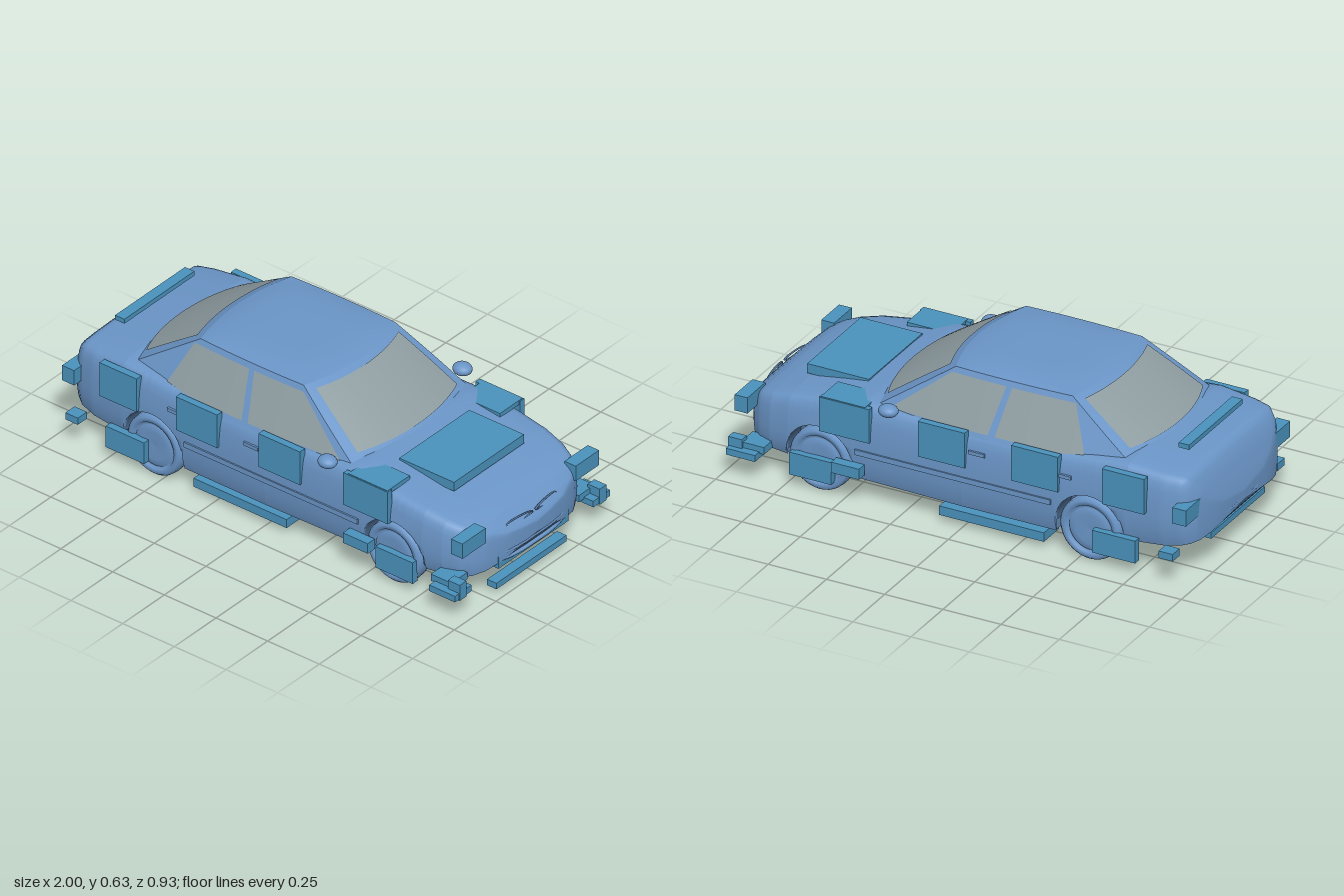
import * as THREE from 'three';

const { lerp } = THREE.MathUtils;
const mat = (color) => new THREE.MeshStandardMaterial({ color, side: THREE.DoubleSide });
const paint = mat(0x6b96c8), glass = mat(0x8f9ea2), plate = mat(0x4a93bd), dark = mat(0x4f6f94);

// Wheel centres along x, and arch size
const AXLES = [0.615, -0.545], WHEEL_Y = 0.13, ARCH = 0.145;

// Body stations: x, half width, bottom y, top y
const STATIONS = [
  [-1, 0, 0.2, 0.235], [-0.995, 0.17, 0.175, 0.26], [-0.985, 0.25, 0.16, 0.3], [-0.97, 0.31, 0.15, 0.345],
  [-0.95, 0.345, 0.145, 0.4], [-0.92, 0.368, 0.14, 0.428], [-0.85, 0.385, 0.13, 0.436], [-0.7, 0.396, 0.12, 0.452],
  [-0.4, 0.4, 0.085, 0.43], [0, 0.402, 0.085, 0.42], [0.42, 0.4, 0.09, 0.425], [0.6, 0.397, 0.1, 0.4],
  [0.75, 0.39, 0.11, 0.375], [0.84, 0.375, 0.11, 0.352], [0.89, 0.355, 0.11, 0.335], [0.93, 0.325, 0.115, 0.313],
  [0.96, 0.275, 0.125, 0.288], [0.985, 0.19, 0.145, 0.262], [0.996, 0.1, 0.17, 0.248], [1, 0, 0.19, 0.235],
];
// Half cross-section: fraction of half width, fraction of height
const SECTION = [
  [0.955, 0], [0.98, 0.1], [0.997, 0.25], [1, 0.4], [0.995, 0.6], [0.98, 0.76], [0.962, 0.86],
  [0.93, 0.935], [0.87, 0.965], [0.7, 0.985], [0.35, 0.998], [0, 1],
];

function station(x) {
  let i = 0;
  while (i < STATIONS.length - 2 && x > STATIONS[i + 1][0]) i++;
  const a = STATIONS[i], b = STATIONS[i + 1], t = (x - a[0]) / (b[0] - a[0]);
  return [1, 2, 3].map((k) => lerp(a[k], b[k], t));
}

function archY(x) {
  const d = Math.min(...AXLES.map((c) => Math.abs(x - c)));
  return d < ARCH ? WHEEL_Y + Math.sqrt(ARCH * ARCH - d * d) : 0;
}

// Grid surface from a rule fn(u, v) -> [x, y, z]
function patch(fn, nu, nv) {
  const g = new THREE.PlaneGeometry(1, 1, nu, nv), p = g.attributes.position;
  for (let i = 0; i < p.count; i++) p.setXYZ(i, ...fn(p.getX(i) + 0.5, p.getY(i) + 0.5));
  g.computeVertexNormals();
  return g;
}

// Cabin side: half width at a given x and y
const sideZ = (x, y) => lerp(0.374, 0.272, (y - 0.39) / 0.22) - 0.028 * ((x + 0.13) / 0.53) ** 2 + 0.008;
const cabinY = (v) => lerp(0.39, 0.61, v);
const frontX = (v) => lerp(0.41, 0.09, v), rearX = (v) => lerp(-0.74, -0.41, v);
const frontBow = (v) => lerp(0.07, 0.05, v), rearBow = (v) => lerp(0.08, 0.04, v);
const bulge = (v) => 0.012 * 4 * v * (1 - v);

function screenPoint(front, t, v, off = 0) {
  const x = front ? frontX(v) : rearX(v), s = front ? 1 : -1;
  const bow = (front ? frontBow(v) : rearBow(v)) * (1 - t * t);
  return [x + s * (bow + off + bulge(v) * (1 - t ** 4)), cabinY(v) + off, t * sideZ(x, cabinY(v))];
}

export function createModel() {
  const car = new THREE.Group();
  car.name = 'car';
  const add = (name, geometry, material, parent = car) => {
    const m = new THREE.Mesh(geometry, material);
    m.name = name;
    parent.add(m);
    return m;
  };
  // Box from its limits
  const block = (name, x0, x1, y0, y1, z0, z1, material = plate) => {
    add(name, new THREE.BoxGeometry(x1 - x0, y1 - y0, z1 - z0), material)
      .position.set((x0 + x1) / 2, (y0 + y1) / 2, (z0 + z1) / 2);
  };
  const pair = (name, x0, x1, y0, y1, z0, z1, material) => {
    block(name + 'Left', x0, x1, y0, y1, z0, z1, material);
    block(name + 'Right', x0, x1, y0, y1, -z1, -z0, material);
  };

  // Lower body shell with raised wheel arches
  const xs = STATIONS.map((s) => s[0]);
  for (let i = 1; i < 60; i++) xs.push(-1 + i / 30);
  for (const c of AXLES) for (let k = 0; k <= 24; k++) xs.push(c + ARCH * Math.cos((k * Math.PI) / 24));
  xs.sort((a, b) => a - b);
  const n = xs.length - 1, half = SECTION.length - 1;
  add('bodyShell', patch((u, v) => {
    const x = xs[Math.round(u * n)], [w, y0, y1] = station(x);
    const j = Math.round(v * 2 * half), side = j < half ? 1 : -1;
    const [a, b] = SECTION[j <= half ? j : 2 * half - j];
    return [x, Math.max(lerp(y0, y1, b), archY(x)), side * a * w];
  }, n, 2 * half), paint);

  // Floor, narrowed between the wheels
  add('floor', patch((u, v) => {
    const x = xs[Math.round(u * n)], [w, y0] = station(x);
    return [x, y0 + 0.004, (2 * v - 1) * (archY(x) ? 0.285 : 0.95 * w)];
  }, n, 2), dark);

  // Cabin sides, screens and roof
  const sideQuad = (s, rb, fb, ft, rt, y0, y1, off) => patch((u, v) => {
    const x = lerp(lerp(rb, rt, v), lerp(fb, ft, v), u), y = lerp(y0, y1, v);
    return [x, y, s * (sideZ(x, y) + off)];
  }, 16, 6);
  for (const s of [1, -1]) {
    const tag = s > 0 ? 'Left' : 'Right';
    add('cabinSide' + tag, sideQuad(s, rearX(0), frontX(0), frontX(1), rearX(1), 0.39, 0.61, 0), paint);
    add('frontWindow' + tag, sideQuad(s, -0.1, 0.33, 0.1, -0.135, 0.41, 0.59, 0.003), glass);
    add('rearWindow' + tag, sideQuad(s, -0.51, -0.13, -0.16, -0.43, 0.41, 0.59, 0.003), glass);
  }
  for (const front of [true, false]) {
    const name = front ? 'windscreen' : 'rearScreen', low = front ? 0.19 : 0.3;
    add(name + 'Frame', patch((u, v) => screenPoint(front, 2 * u - 1, v), 20, 8), paint);
    add(name, patch((u, v) => screenPoint(front, 0.88 * (2 * u - 1), lerp(low, 0.93, v), 0.003), 20, 8), glass);
  }
  add('roof', patch((u, v) => {
    const t = 2 * v - 1, a = 2 * u - 1, bow = 1 - t * t;
    const x = lerp(rearX(1) - rearBow(1) * bow, frontX(1) + frontBow(1) * bow, u);
    const edge = lerp(rearX(1), frontX(1), u);
    return [x, 0.61 + 0.017 * (1 - t ** 4) * (1 - a ** 4), t * sideZ(edge, 0.61)];
  }, 24, 20), paint);

  // Wheels and wheel wells
  const tyre = new THREE.LatheGeometry([[0, 0.03], [0.06, 0.034], [0.088, 0.03], [0.094, 0.022], [0.1, 0.036], [0.118, 0.038],
    [0.128, 0.028], [0.131, 0], [0.128, -0.03], [0.115, -0.04], [0.08, -0.04], [0, -0.03]]
    .map(([r, y]) => new THREE.Vector2(r, y)), 40).rotateX(Math.PI / 2);
  for (const s of [1, -1]) for (const x of AXLES) {
    const wheel = add((x > 0 ? 'front' : 'rear') + 'Wheel' + (s > 0 ? 'Left' : 'Right'), tyre, paint);
    wheel.position.set(x, WHEEL_Y, s * 0.355);
    if (s < 0) wheel.rotation.y = Math.PI;
    const well = new THREE.CylinderGeometry(ARCH, ARCH, 0.1, 24, 1, true, Math.PI / 2, Math.PI).rotateX(Math.PI / 2);
    add('wheelWell', well, dark).position.set(x, WHEEL_Y, s * 0.335);
    add('wheelWellWall', new THREE.CircleGeometry(ARCH, 24, 0, Math.PI), dark).position.set(x, WHEEL_Y, s * 0.286);
  }

  // Underbody parts
  for (const x of AXLES) {
    add('axle', new THREE.CylinderGeometry(0.015, 0.015, 0.64, 12).rotateX(Math.PI / 2), dark).position.set(x, 0.12, 0);
  }
  block('engineTray', 0.45, 0.72, 0.055, 0.12, -0.13, 0.13, dark);
  block('floorTunnel', -0.38, 0.45, 0.065, 0.095, -0.28, 0.28, dark);
  const pipe = new THREE.CatmullRomCurve3([[-0.3, 0.085, 0.05], [-0.55, 0.1, 0.1], [-0.75, 0.1, 0.17], [-0.95, 0.13, 0.2]]
    .map((p) => new THREE.Vector3(...p)));
  add('exhaust', new THREE.TubeGeometry(pipe, 20, 0.013, 10), dark);

  // Mirrors, handles and rubbing strips
  for (const s of [1, -1]) {
    const mirror = add('mirror' + (s > 0 ? 'Left' : 'Right'), new THREE.SphereGeometry(1, 20, 14), paint);
    mirror.scale.set(0.04, 0.025, 0.036);
    mirror.position.set(0.31, 0.425, s * 0.405);
  }
  pair('rubbingStrip', -0.385, 0.455, 0.2, 0.222, 0.395, 0.407, paint);
  for (const x of [-0.47, -0.1]) pair('doorHandle', x, x + 0.07, 0.325, 0.34, 0.392, 0.402, paint);

  // Grille ovals and bumper mouldings, following the nose curve
  for (const s of [1, -1]) {
    const oval = add('grille', new THREE.TorusGeometry(0.06, 0.005, 8, 28), dark);
    oval.scale.set(1.15, 0.16, 1);
    oval.rotation.y = Math.PI / 2 + s * -0.12;
    oval.position.set(0.974, 0.275, s * 0.08);
  }
  const band = (name, dir, y, reach) => {
    const pts = [-1, -0.75, -0.4, 0, 0.4, 0.75, 1].map((t) =>
      new THREE.Vector3(dir * (0.992 - 0.06 * t ** 4 - 0.01 * t * t), y, t * reach));
    add(name, new THREE.TubeGeometry(new THREE.CatmullRomCurve3(pts), 30, 0.008, 8), paint);
  };
  band('frontBumperMoulding', 1, 0.175, 0.29);
  band('frontBumperLip', 1, 0.145, 0.26);
  band('rearBumperMoulding', -1, 0.2, 0.32);

  // Side plates over doors, wings and wheels
  for (const [x0, x1] of [[-0.79, -0.61], [-0.42, -0.22], [-0.02, 0.18]]) pair('sidePlate', x0, x1, 0.265, 0.415, 0.38, 0.41);
  pair('wingPlate', 0.39, 0.605, 0.265, 0.41, 0.385, 0.41);
  pair('wingTopPlate', 0.41, 0.6, 0.393, 0.412, 0.27, 0.405);
  pair('rearWheelPlate', -0.755, -0.57, 0.05, 0.145, 0.385, 0.415);
  pair('frontWheelPlate', 0.55, 0.73, 0.05, 0.145, 0.385, 0.415);
  pair('skirtPlate', -0.35, 0.1, 0.027, 0.065, 0.27, 0.39);

  // Corner blocks
  pair('frontLampBlock', 0.912, 0.967, 0.26, 0.327, 0.27, 0.41);
  pair('rearLampBlock', -0.97, -0.912, 0.26, 0.327, 0.27, 0.41);
  pair('rearCornerBlock', -0.93, -0.87, 0.115, 0.145, 0.385, 0.44);
  pair('sideMarkerBlock', 0.415, 0.535, 0.12, 0.165, 0.4, 0.443);
  pair('frontCornerBlock', 0.85, 0.975, 0.095, 0.122, 0.365, 0.465);
  pair('frontCornerUpperBlock', 0.83, 0.93, 0.115, 0.145, 0.335, 0.43);
  pair('frontCornerTipBlock', 0.92, 0.978, 0.09, 0.16, 0.4, 0.44);

  // Centre plates
  block('bonnetPlate', 0.5, 0.765, 0.378, 0.418, -0.21, 0.21);
  block('bootStrip', -0.875, -0.83, 0.47, 0.49, -0.21, 0.21);
  block('frontLowerStrip', 0.925, 0.97, 0.02, 0.047, -0.21, 0.21);
  block('frontBumperPlate', 0.92, 0.98, 0.117, 0.19, -0.21, 0.21);
  block('rearLowerStrip', -0.97, -0.92, 0.115, 0.14, -0.21, 0.21);
  block('centreFloorPlate', -0.35, 0.345, 0.012, 0.027, -0.11, 0.11);
  return car;
}
